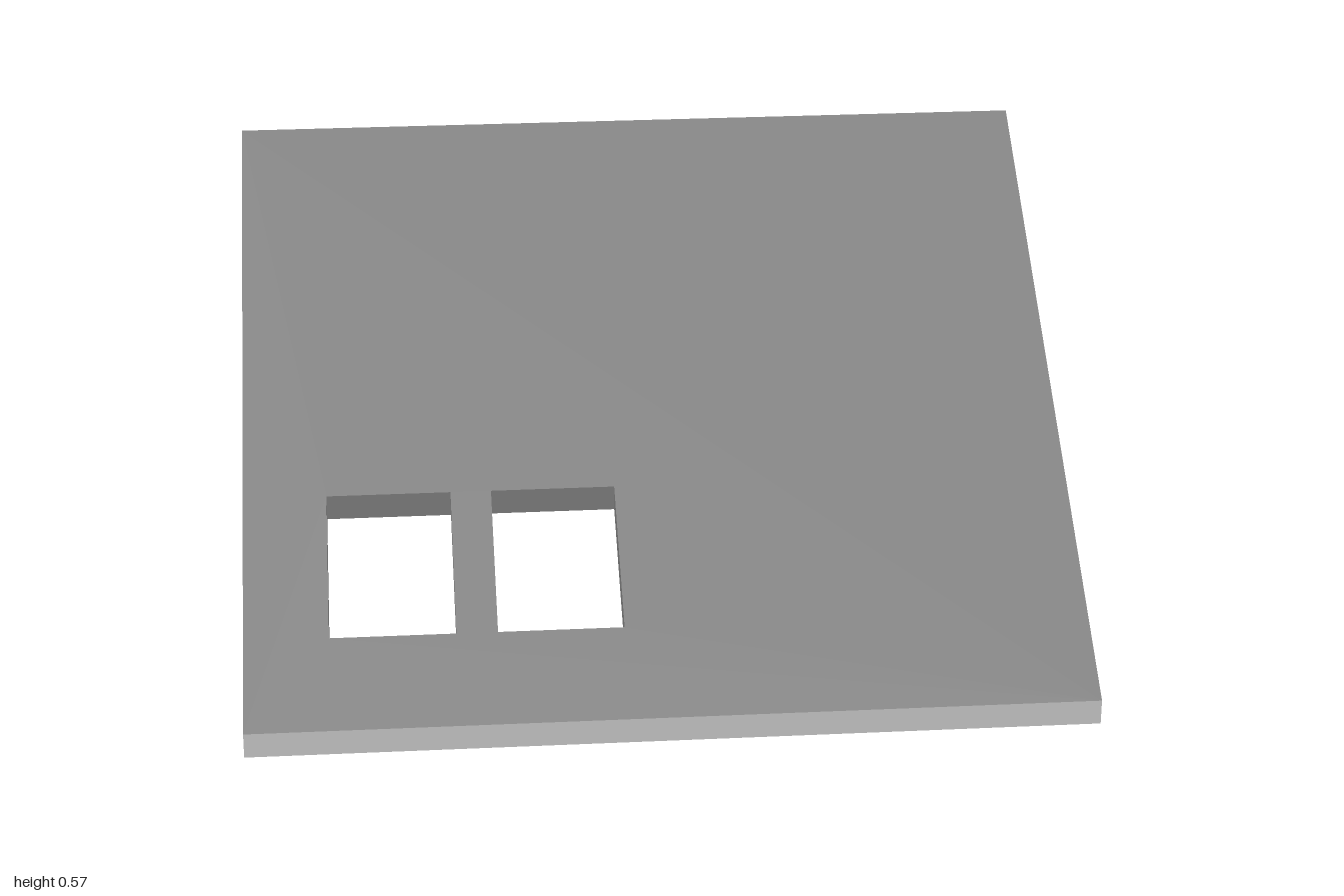
import * as THREE from 'three';

const LENGTH = 1.146;   // along the ridge
const RUN = 0.841;      // ridge to eave, in plan
const RIDGE = 0.575;    // height of the ridge
const THICK = 0.035;    // measured vertically

const roofing = new THREE.MeshStandardMaterial({ color: 0x808080, flatShading: true });
const edging = new THREE.MeshStandardMaterial({ color: 0xcccccc, flatShading: true });

// One roof slope: a plan outline with openings, extruded and sheared to its pitch
function slopePanel(name, openings) {
  const rect = (path, x0, x1, z0, z1) =>
    path.moveTo(x0, z0).lineTo(x1, z0).lineTo(x1, z1).lineTo(x0, z1);
  const shape = new THREE.Shape();
  rect(shape, -LENGTH / 2, LENGTH / 2, 0, RUN);
  for (const o of openings) {
    const hole = new THREE.Path();
    rect(hole, ...o);
    shape.holes.push(hole);
  }
  const geo = new THREE.ExtrudeGeometry(shape, { depth: THICK, bevelEnabled: false });
  geo.rotateX(Math.PI / 2);
  const pos = geo.attributes.position;
  for (let i = 0; i < pos.count; i++) {
    pos.setY(i, pos.getY(i) + RIDGE - (RIDGE - THICK) * pos.getZ(i) / RUN);
  }
  geo.computeVertexNormals();

  // Dark faces and opening walls; the four outer edges (24 vertices) are lighter
  const edgeStart = geo.groups[1].start;
  const edgeEnd = edgeStart + 24;
  geo.clearGroups();
  geo.addGroup(0, edgeStart, 0);
  geo.addGroup(edgeStart, 24, 1);
  if (pos.count > edgeEnd) geo.addGroup(edgeEnd, pos.count - edgeEnd, 0);

  const mesh = new THREE.Mesh(geo, [roofing, edging]);
  mesh.name = name;
  return mesh;
}

export function createModel() {
  const roof = new THREE.Group();
  roof.name = 'gableRoof';

  // Front slope with a pair of skylight openings near the eave
  roof.add(slopePanel('frontSlope', [
    [-0.458, -0.287, 0.537, 0.724],
    [-0.231, -0.06, 0.537, 0.724],
  ]));

  // Plain back slope
  const back = slopePanel('backSlope', []);
  back.rotation.y = Math.PI;
  roof.add(back);

  // The ridge runs diagonally
  roof.rotation.y = -Math.PI / 4;
  const model = new THREE.Group();
  model.name = 'roof';
  model.add(roof);
  return model;
}
